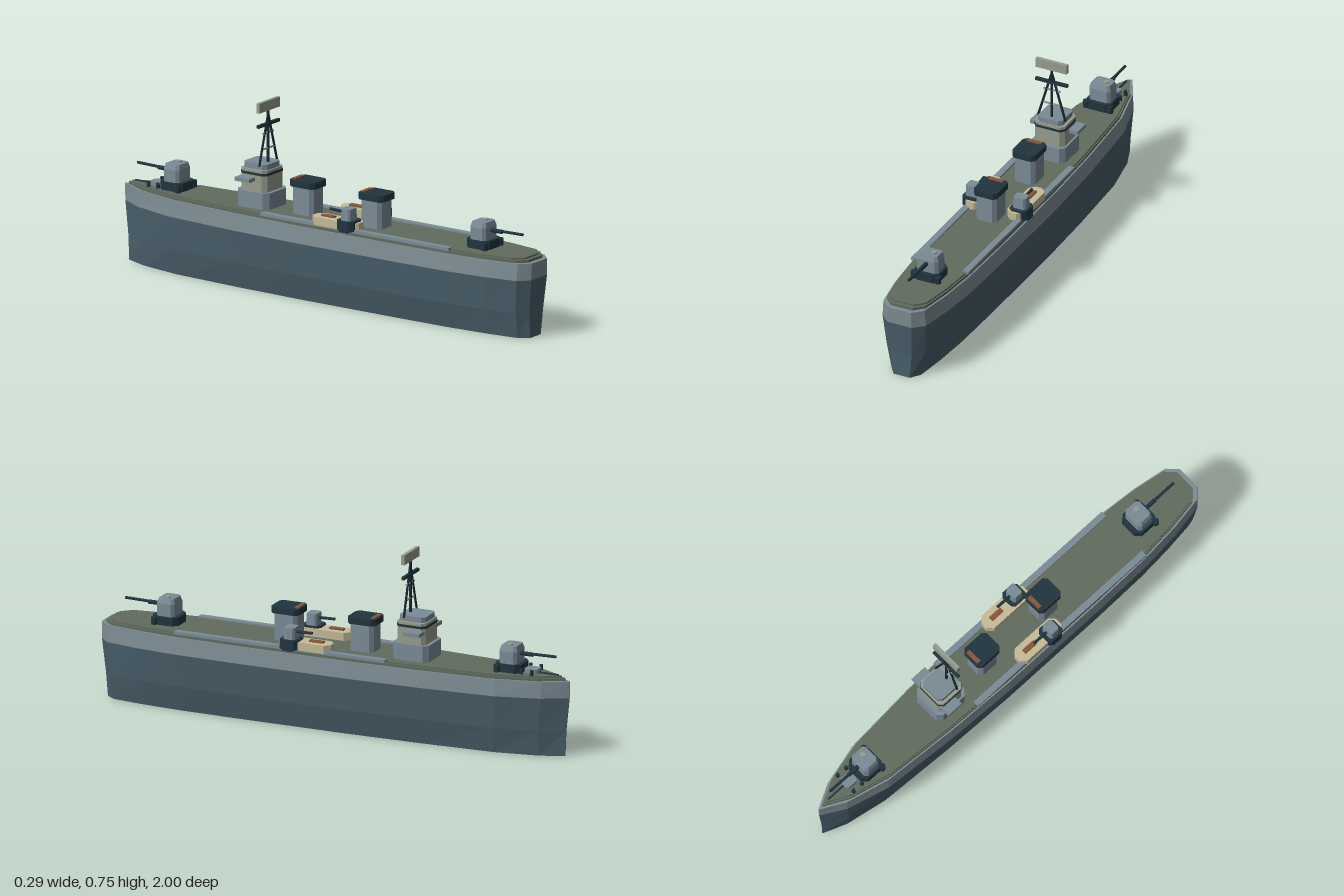
import * as THREE from 'three';

const mat = (name, color) => Object.assign(new THREE.MeshStandardMaterial({ color }), { name });

export function createModel() {
  const ship = new THREE.Group();
  ship.name = 'warship';
  const M = {
    hullLower: mat('slate hull', 0x4a606c),
    hullUpper: mat('grey hull band', 0x7d8d94),
    deck: mat('olive deck', 0x606c5e),
    grey: mat('blue grey', 0x7b8c98),
    sage: mat('sage grey', 0x969e8e),
    dark: mat('dark teal', 0x21353f),
    black: mat('mast black', 0x1a2a31),
    cream: mat('cream', 0xc6bb98),
    brown: mat('rust brown', 0x85573a),
  };

  const add = (parent, name, geo, material, x = 0, y = 0, z = 0) => {
    const g = geo.index ? geo.toNonIndexed() : geo;
    g.computeVertexNormals();
    const mesh = new THREE.Mesh(g, material);
    mesh.name = name;
    mesh.position.set(x, y, z);
    parent.add(mesh);
    return mesh;
  };
  const group = (name, x, y, z) => {
    const g = new THREE.Group();
    g.name = name;
    g.position.set(x, y, z);
    ship.add(g);
    return g;
  };

  // Stack outlines [[x, z], ...] at heights into a closed faceted solid
  const loft = (rings) => {
    const n = rings[0].pts.length, pos = [], idx = [];
    rings.forEach(({ y, pts }) => pts.forEach(([x, z]) => pos.push(x, y, z)));
    for (let r = 0; r < rings.length - 1; r++) {
      for (let i = 0; i < n; i++) {
        const a = r * n + i, b = r * n + (i + 1) % n;
        idx.push(a, a + n, b, b, a + n, b + n);
      }
    }
    const top = (rings.length - 1) * n, c = pos.length / 3;
    pos.push(0, rings[0].y, 0, 0, rings[rings.length - 1].y, 0);
    for (let i = 0; i < n; i++) {
      const j = (i + 1) % n;
      idx.push(c, i, j, c + 1, top + j, top + i);
    }
    const g = new THREE.BufferGeometry();
    g.setAttribute('position', new THREE.Float32BufferAttribute(pos, 3));
    g.setIndex(idx);
    return g;
  };
  // Octagonal outline: half width, half depth, corner cut
  const oct = (w, d, c) => [[w - c, -d], [w, -d + c], [w, d - c], [w - c, d],
    [-w + c, d], [-w, d - c], [-w, -d + c], [-w + c, -d]];
  const block = (w, d, c, h, s = 1) => loft([
    { y: 0, pts: oct(w, d, c) }, { y: h, pts: oct(w * s, d * s, c * s) }]);
  const box = (w, h, d) => new THREE.BoxGeometry(w, h, d);
  const rod = (a, b, r, sides = 8) => {
    const p = new THREE.Vector3(...a), q = new THREE.Vector3(...b), v = q.clone().sub(p);
    const g = new THREE.CylinderGeometry(r, r, v.length(), sides);
    g.applyQuaternion(new THREE.Quaternion().setFromUnitVectors(
      new THREE.Vector3(0, 1, 0), v.normalize()));
    const m = p.add(q).multiplyScalar(0.5);
    return g.translate(m.x, m.y, m.z);
  };

  // Hull outline, bow at -z, as half widths along the length
  const half = [[0.002, -1], [0.055, -0.9], [0.1, -0.72], [0.122, -0.4], [0.132, -0.1],
    [0.132, 0.4], [0.127, 0.65], [0.113, 0.82], [0.09, 0.96], [0.05, 1]];
  const plan = (sx, sz) => {
    const right = half.map(([x, z]) => [x * sx, z * sz]);
    return [...right, ...right.map(([x, z]) => [-x, z]).reverse()];
  };
  add(ship, 'lowerHull', loft([
    { y: 0, pts: plan(0.71, 0.98) }, { y: 0.105, pts: plan(0.925, 0.984) },
    { y: 0.24, pts: plan(1.06, 0.998) }]), M.hullLower);
  add(ship, 'upperHull', loft([
    { y: 0.24, pts: plan(1.06, 0.998) }, { y: 0.308, pts: plan(1, 1) }]), M.hullUpper);
  add(ship, 'deckEdge', loft([
    { y: 0.306, pts: plan(0.95, 0.98) }, { y: 0.319, pts: plan(0.95, 0.98) }]), M.deck);
  add(ship, 'deck', loft([
    { y: 0.318, pts: plan(0.91, 0.965) }, { y: 0.326, pts: plan(0.91, 0.965) }]), M.deck);
  for (const s of [1, -1]) {
    add(ship, 'sideWalkway', box(0.026, 0.012, 0.91), M.grey, s * 0.113, 0.326, 0.197);
  }

  // Main gun turrets, dir is the way the barrel points
  const mainGun = (z, dir) => {
    const g = group('mainGun', 0, 0.325, z);
    add(g, 'gunBase', block(0.055, 0.055, 0.02, 0.035), M.dark);
    add(g, 'gunHouse', loft([
      { y: 0.034, pts: oct(0.047, 0.038, 0.012) }, { y: 0.085, pts: oct(0.047, 0.038, 0.012) },
      { y: 0.105, pts: oct(0.04, 0.032, 0.01) }]), M.grey);
    add(g, 'roofHatch', new THREE.CylinderGeometry(0.011, 0.011, 0.006, 8), M.sage, 0.015, 0.107, 0);
    add(g, 'barrelSleeve', rod([0, 0.072, dir * 0.03], [0, 0.072, dir * 0.09], 0.009), M.dark);
    add(g, 'barrel', rod([0, 0.074, dir * 0.08], [0, 0.076, dir * 0.19], 0.006), M.dark);
    for (const s of [1, -1]) {
      add(g, 'ammoDrum', new THREE.CylinderGeometry(0.014, 0.014, 0.03, 8), M.dark, s * 0.052, 0.014, 0.042);
    }
  };
  mainGun(0.73, 1);
  mainGun(-0.75, -1);

  // Foredeck winch and bollards
  add(ship, 'anchorWinch', block(0.025, 0.028, 0.008, 0.018), M.grey, 0, 0.325, -0.84);
  add(ship, 'anchorChain', box(0.006, 0.006, 0.1), M.dark, 0, 0.328, -0.9);
  for (const s of [1, -1]) for (const z of [-0.81, -0.855]) {
    add(ship, 'bollard', new THREE.CylinderGeometry(0.007, 0.008, 0.022, 8), M.dark, s * 0.045, 0.336, z);
  }

  // Bridge tower
  const bridge = group('bridge', 0, 0.325, -0.34);
  add(bridge, 'bridgeBase', block(0.075, 0.077, 0.02, 0.068), M.grey);
  add(bridge, 'bridgeHouse', block(0.066, 0.062, 0.016, 0.09), M.sage, 0, 0.066, 0);
  add(bridge, 'bridgeWings', box(0.21, 0.015, 0.07), M.grey, 0, 0.118, -0.022);
  add(bridge, 'bridgeWindows', block(0.0675, 0.0635, 0.016, 0.01), M.dark, 0, 0.135, 0);
  add(bridge, 'bridgeRoof', block(0.054, 0.056, 0.014, 0.023), M.grey, 0, 0.155, 0);

  // Tripod mast with spars and radar panel
  const mast = group('mast', 0, 0, -0.31);
  add(mast, 'mastPole', rod([0, 0.49, 0], [0, 0.715, 0], 0.006), M.black);
  for (const s of [1, -1]) {
    add(mast, 'mastLeg', rod([s * 0.06, 0.495, 0], [0, 0.7, 0], 0.005, 6), M.black);
  }
  add(mast, 'crossYard', box(0.142, 0.012, 0.012), M.dark, 0, 0.658, 0);
  add(mast, 'upperSpar', box(0.072, 0.006, 0.006), M.sage, 0, 0.623, 0);
  add(mast, 'lowerSpar', box(0.08, 0.006, 0.006), M.sage, 0, 0.56, 0);
  add(mast, 'radarPanel', box(0.138, 0.04, 0.014), M.sage, 0, 0.733, 0);

  // Funnels
  for (const z of [-0.117, 0.213]) {
    const f = group('funnel', 0, 0.325, z);
    add(f, 'funnelBody', block(0.045, 0.05, 0.014, 0.115), M.grey);
    add(f, 'funnelCap', block(0.051, 0.06, 0.014, 0.026), M.dark, 0, 0.112, 0);
    add(f, 'funnelVent', box(0.062, 0.008, 0.018), M.brown, 0, 0.138, -0.046);
  }

  // Side platforms, each with a small gun aft
  for (const s of [1, -1]) {
    const p = group('sidePlatform', s * 0.094, 0.325, 0.095);
    add(p, 'platform', block(0.036, 0.112, 0.022, 0.033), M.cream);
    add(p, 'platformKeel', block(0.03, 0.1, 0.018, 0.016), M.dark, 0, -0.004, 0);
    add(p, 'platformHatch', box(0.02, 0.007, 0.06), M.brown, 0, 0.036, -0.045);
    const g = new THREE.Group();
    g.name = 'sideGun';
    g.position.set(s * 0.01, 0, 0.06);
    p.add(g);
    add(g, 'sideGunBase', block(0.038, 0.04, 0.014, 0.04), M.dark);
    add(g, 'sideGunHouse', block(0.029, 0.024, 0.008, 0.047, 0.92), M.grey, 0, 0.04, 0);
    add(g, 'sideGunBarrel', rod([0, 0.068, -0.015], [0, 0.07, -0.09], 0.006), M.dark);
    add(g, 'sideGunBracket', box(0.012, 0.014, 0.04), M.dark, s * 0.034, 0.002, 0);
  }
  return ship;
}
